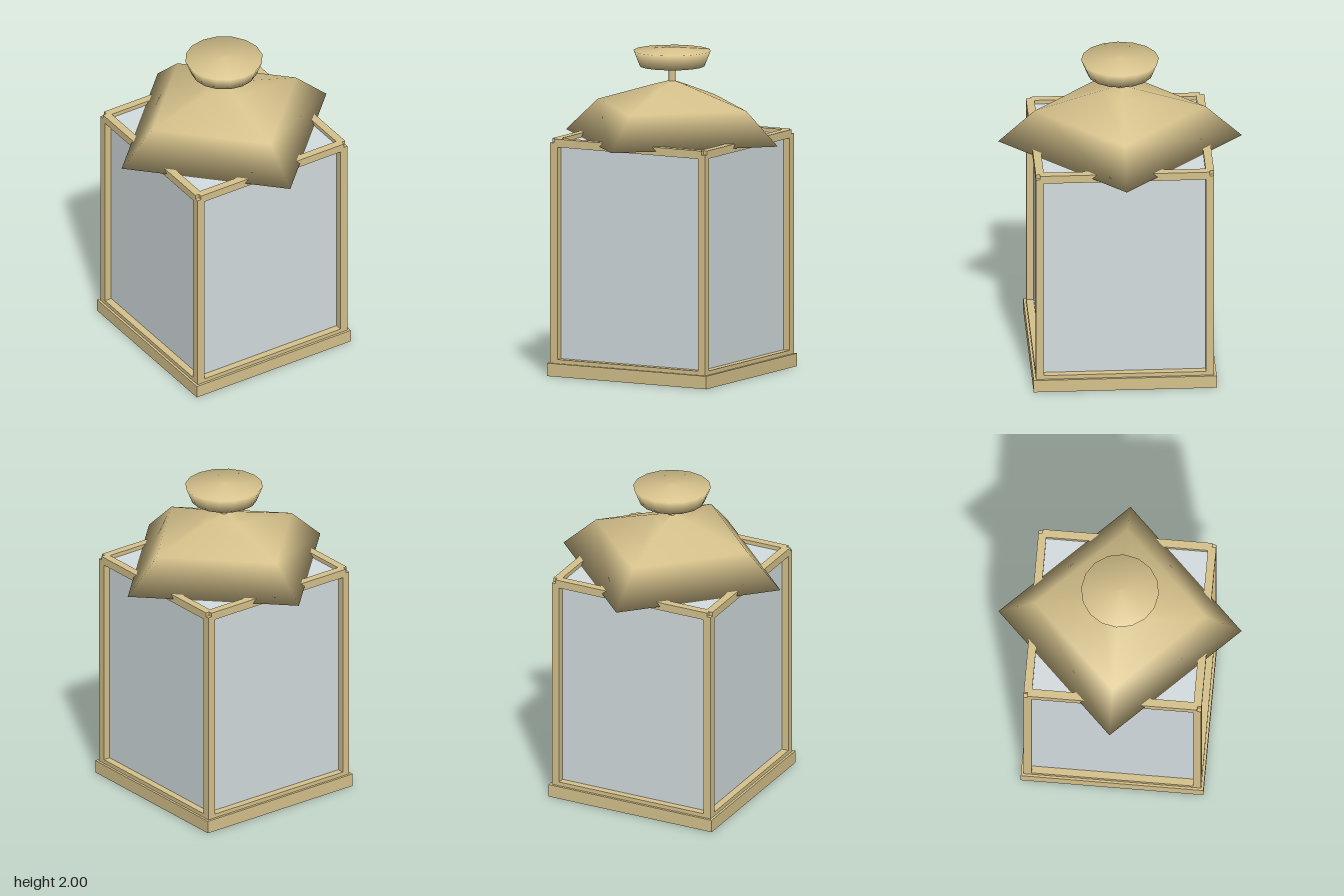
import * as THREE from 'three';

const brass = new THREE.MeshStandardMaterial({ color: 0xd6c28c });
const glass = new THREE.MeshStandardMaterial({ color: 0xd4dde0 });

export function createModel() {
  const lantern = new THREE.Group();
  lantern.name = 'lantern';

  const add = (name, geometry, material, x = 0, y = 0, z = 0) => {
    const mesh = new THREE.Mesh(geometry, material);
    mesh.name = name;
    mesh.position.set(x, y, z);
    lantern.add(mesh);
  };
  const lathe = (profile, sides) =>
    new THREE.LatheGeometry(profile.map(([r, y]) => new THREE.Vector2(r, y)), sides);

  // Base slab and glass body
  add('base', new THREE.BoxGeometry(1.12, 0.08, 1.12), brass, 0, 0.04, 0);
  add('glassBody', new THREE.BoxGeometry(1, 1.36, 1), glass, 0, 0.76, 0);

  // Frame: corner posts, with rails that meet on the post centre lines
  const bar = 0.05, half = 0.52, low = 0.08, high = 1.44;
  for (const s of [-1, 1]) {
    for (const t of [-1, 1]) {
      add('cornerPost', new THREE.BoxGeometry(bar, high - low, bar), brass,
        s * half, (high + low) / 2, t * half);
    }
    for (const y of [low, high]) {
      add('railAcross', new THREE.BoxGeometry(half * 2, bar, bar), brass, 0, y, s * half);
      add('railDeep', new THREE.BoxGeometry(bar, bar, half * 2), brass, s * half, y, 0);
    }
  }

  // Four-sided roof, turned 45 degrees to the body, with softened shading
  add('roof', lathe([[0, 1.44], [0.745, 1.44], [0.522, 1.643], [0.125, 1.765], [0, 1.8]], 4), brass);

  // Stem and flared knob
  add('stem', new THREE.CylinderGeometry(0.02, 0.02, 0.14, 12), brass, 0, 1.84, 0);
  add('knob', lathe([[0, 1.885], [0.2, 1.885], [0.238, 1.98], [0, 2]], 16), brass);

  return lantern;
}
